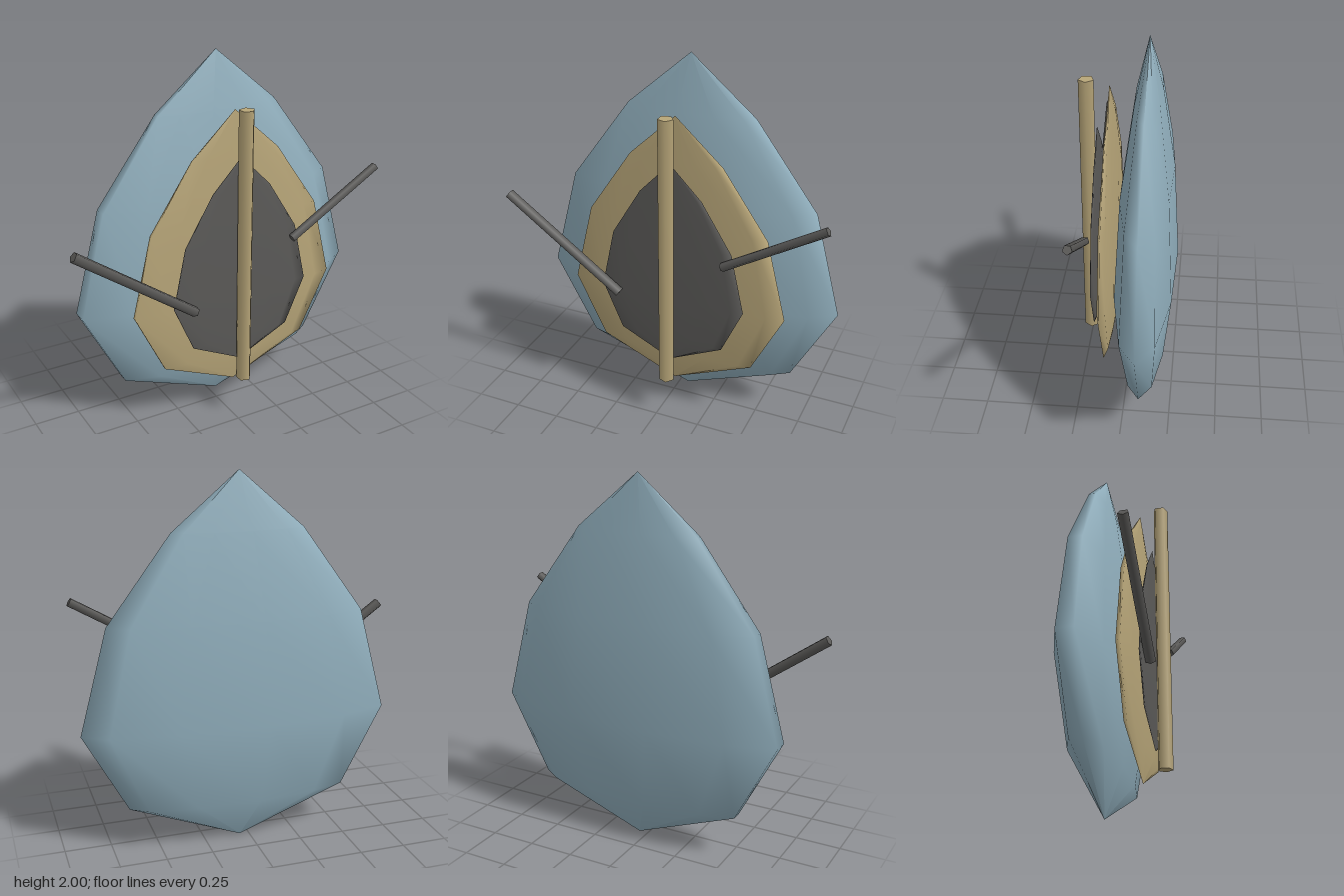
import * as THREE from 'three';

const blue = new THREE.MeshStandardMaterial({ name: 'dusty blue', color: 0x91afbd });
const tan = new THREE.MeshStandardMaterial({ name: 'sand', color: 0xb8a679 });
const grey = new THREE.MeshStandardMaterial({ name: 'dark grey', color: 0x5b5a58 });

// Teardrop profile (radius, height), both normalised to 1
const PROFILE = [[0, 0], [0.72, 0.12], [1, 0.341], [0.822, 0.622], [0.42, 0.85], [0, 1]]
  .map(([r, y]) => new THREE.Vector2(r, y));

// Eleven-sided teardrop, flattened front to back
function teardrop(name, material, width, depth, bottom, top, z) {
  const geometry = new THREE.LatheGeometry(PROFILE, 11, Math.PI / 2);
  geometry.scale(width, top - bottom, depth);
  const mesh = new THREE.Mesh(geometry, material);
  mesh.name = name;
  mesh.position.set(0.05, bottom, z);
  return mesh;
}

// Five-sided rod between two points
function rod(name, material, radius, from, to) {
  const a = new THREE.Vector3(...from), b = new THREE.Vector3(...to);
  const direction = b.clone().sub(a);
  const geometry = new THREE.CylinderGeometry(radius, radius, direction.length(), 5, 1, false, Math.PI / 2);
  const mesh = new THREE.Mesh(geometry, material);
  mesh.name = name;
  mesh.position.copy(a).add(b).multiplyScalar(0.5);
  mesh.quaternion.setFromUnitVectors(new THREE.Vector3(0, 1, 0), direction.normalize());
  return mesh;
}

export function createModel() {
  const group = new THREE.Group();
  group.name = 'layeredTeardrop';
  group.add(
    // Nested layers, back to front
    teardrop('outerShell', blue, 0.847, 0.163, 0.005, 2, -0.095),
    teardrop('middleLayer', tan, 0.615, 0.039, 0.175, 1.735, 0.102),
    teardrop('innerCore', grey, 0.411, 0.016, 0.34, 1.505, 0.168),
    // Upright bar and slanted side rods
    rod('centreBar', tan, 0.041, [0.05, 0.24, 0.217], [0.05, 1.76, 0.217]),
    rod('leftRod', grey, 0.024, [0.35, 1.005, 0.203], [0.88, 1.32, 0.203]),
    rod('rightRod', grey, 0.028, [-0.885, 1.18, 0.203], [-0.235, 0.715, 0.203]),
  );
  return group;
}
